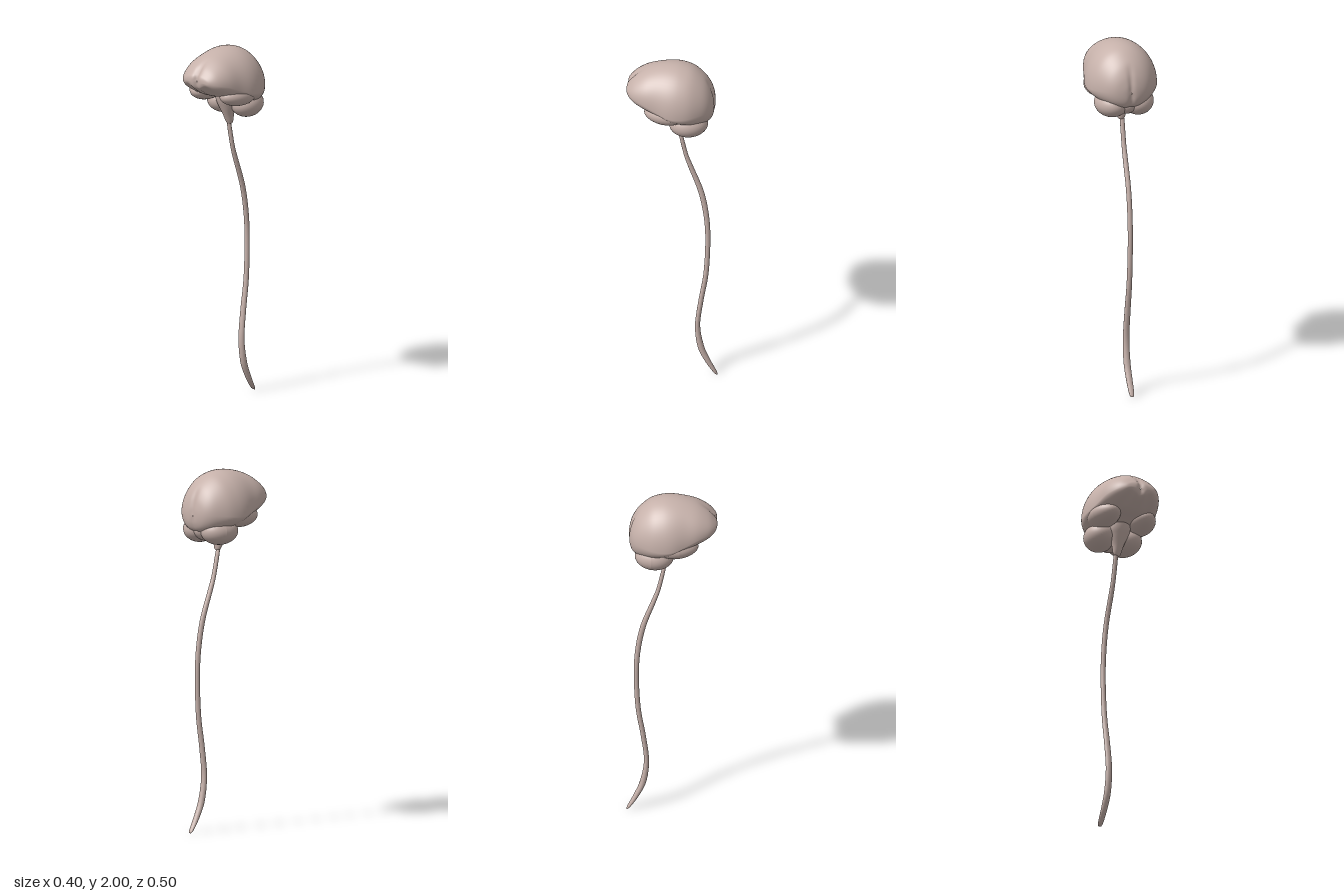
import * as THREE from 'three';

const material = new THREE.MeshStandardMaterial({ color: 0xc6b1aa });

// Skin a list of rings (each a closed loop of points) with smooth normals.
function loft(name, rings) {
  const n = rings[0].length, index = [];
  for (let i = 0; i < rings.length - 1; i++) {
    for (let j = 0; j < n; j++) {
      const a = i * n + j, b = i * n + (j + 1) % n;
      index.push(a, a + n, b, b, a + n, b + n);
    }
  }
  const geometry = new THREE.BufferGeometry().setFromPoints(rings.flat());
  geometry.setIndex(index);
  geometry.computeVertexNormals();
  const mesh = new THREE.Mesh(geometry, material);
  mesh.name = name;
  return mesh;
}

// Spline through rows of numbers, sampled evenly by row.
function sampleRows(rows, count) {
  const curve = (k) => new THREE.CatmullRomCurve3(
    rows.map((r) => new THREE.Vector3(r[k], r[k + 1], r[k + 2] ?? 0)), false, 'catmullrom', 0.5);
  const a = curve(0), b = curve(3);
  return Array.from({ length: count + 1 }, (_, i) =>
    [...a.getPoint(i / count).toArray(), ...b.getPoint(i / count).toArray()]);
}

// Cerebrum: slices from front to back as z, top, bottom, half width, widest height
function cerebrum() {
  const rows = [
    [0.252, 1.853, 1.847, 0.002, 1.85], [0.247, 1.875, 1.82, 0.06, 1.848],
    [0.235, 1.893, 1.803, 0.095, 1.845], [0.2, 1.93, 1.78, 0.132, 1.835],
    [0.14, 1.967, 1.752, 0.162, 1.82], [0.07, 1.99, 1.735, 0.181, 1.79],
    [0, 2.0, 1.71, 0.199, 1.765], [-0.06, 1.996, 1.685, 0.198, 1.76],
    [-0.12, 1.975, 1.67, 0.18, 1.765], [-0.18, 1.925, 1.668, 0.14, 1.77],
    [-0.215, 1.87, 1.683, 0.1, 1.77], [-0.232, 1.815, 1.715, 0.055, 1.765],
    [-0.238, 1.767, 1.757, 0.002, 1.762],
  ];
  const rings = sampleRows(rows, 60).map(([z, top, bottom, half, mid]) =>
    Array.from({ length: 64 }, (_, j) => {
      const a = j / 64 * Math.PI * 2, s = Math.sin(a), c = Math.cos(a);
      const x = half * Math.sign(c) * Math.abs(c) ** (s < 0 ? 0.85 : 1);
      let y = mid + s * (s > 0 ? top - mid : mid - bottom);
      // Midline fissure at the front and back, hollows over the eyes
      const notch = Math.exp(-((x / 0.016) ** 2));
      const front = THREE.MathUtils.smoothstep(z, 0.13, 0.24);
      const back = THREE.MathUtils.smoothstep(-z, 0.17, 0.23);
      if (s < 0) y += 0.018 * front * -s * Math.exp(-(((Math.abs(x) - 0.06) / 0.03) ** 2));
      return new THREE.Vector3(x, y, z - 0.015 * notch * front + 0.008 * notch * back);
    }));
  return loft('cerebrum', rings);
}

// Vertical strand: rows from top to bottom as x, y, z, x radius, z radius
function strand(name, rows, count, sides) {
  return loft(name, sampleRows(rows, count).map(([x, y, z, rx, rz]) =>
    Array.from({ length: sides }, (_, j) => {
      const a = j / sides * Math.PI * 2;
      return new THREE.Vector3(x + rx * Math.cos(a), y, z - rz * Math.sin(a));
    })));
}

// Rounded lobe, tapered towards the front
function lobe(name, position, radii, taper, tilt) {
  const geometry = new THREE.SphereGeometry(1, 40, 28);
  const p = geometry.attributes.position;
  for (let i = 0; i < p.count; i++) {
    const k = 1 - taper * p.getZ(i);
    p.setXY(i, p.getX(i) * k, p.getY(i) * k);
  }
  geometry.scale(...radii);
  geometry.computeVertexNormals();
  const mesh = new THREE.Mesh(geometry, material);
  mesh.name = name;
  mesh.position.set(...position);
  mesh.rotation.y = tilt;
  return mesh;
}

export function createModel() {
  const model = new THREE.Group();
  model.name = 'brainAndSpinalCord';
  model.add(cerebrum());

  // Paired lobes
  for (const [side, s] of [['left', 1], ['right', -1]]) {
    model.add(lobe(side + 'TemporalLobe', [s * 0.113, 1.752, 0.025], [0.08, 0.062, 0.118], 0.08, -s * 0.12));
    model.add(lobe(side + 'CerebellumLobe', [s * 0.077, 1.674, -0.1], [0.088, 0.076, 0.108], 0, s * 0.25));
  }
  // Bridge joining the cerebellum lobes
  model.add(lobe('cerebellumBridge', [0, 1.68, -0.105], [0.07, 0.068, 0.1], 0, 0));

  // Brain stem
  model.add(strand('brainStem', [
    [0, 1.76, 0.0, 0.06, 0.05], [0, 1.7, -0.012, 0.062, 0.05],
    [0, 1.66, -0.02, 0.05, 0.042], [0, 1.61, -0.032, 0.032, 0.03],
    [0, 1.57, -0.04, 0.023, 0.018], [0, 1.556, -0.042, 0.014, 0.011],
    [0, 1.554, -0.042, 0.001, 0.001],
  ], 36, 32));

  // Spinal cord
  model.add(strand('spinalCord', [
    [-0.005, 1.565, -0.041, 0.001, 0.001], [-0.005, 1.56, -0.042, 0.012, 0.01],
    [-0.005, 1.42, -0.073, 0.013, 0.012], [-0.005, 1.34, -0.1, 0.014, 0.014],
    [-0.005, 1.18, -0.158, 0.014, 0.016], [-0.004, 1.02, -0.188, 0.014, 0.015],
    [-0.003, 0.86, -0.196, 0.014, 0.014], [-0.001, 0.65, -0.186, 0.015, 0.014],
    [0.001, 0.47, -0.158, 0.017, 0.014], [0.003, 0.31, -0.14, 0.018, 0.014],
    [0.004, 0.175, -0.158, 0.019, 0.018], [0.003, 0.085, -0.196, 0.018, 0.016],
    [0.002, 0.02, -0.234, 0.015, 0.01], [0.002, 0.002, -0.246, 0.009, 0.004],
    [0.002, 0, -0.248, 0.001, 0.001],
  ], 98, 20));

  return model;
}
